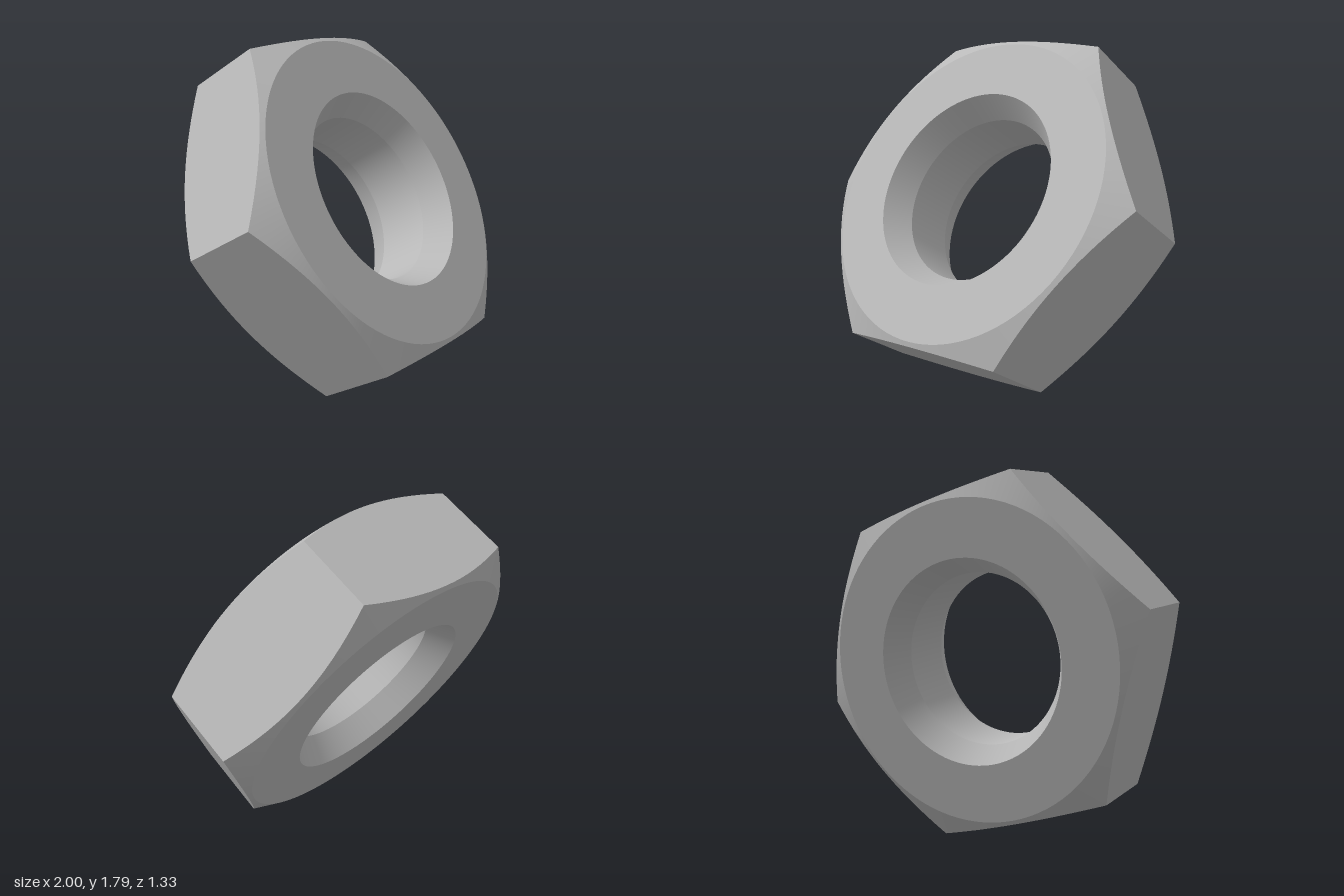
import * as THREE from 'three';

const COLUMNS = 96; // multiple of six, so columns land on the hexagon corners
const APOTHEM = Math.sqrt(3) / 2;
const HALF = 0.3; // half thickness
const FACE_R = 0.843; // where the outer chamfer starts
const RIM_R = 0.54, BORE_R = 0.46, BORE_HALF = 0.15;
const CHAMFER = Math.tan(Math.PI / 6);
const TILT = 0.5;

// Distance from the axis to the hexagon outline at an angle, corners on the x axis
function hexRadius(angle) {
  const sector = Math.PI / 3;
  return APOTHEM / Math.cos((angle % sector) - sector / 2);
}

const circle = (r, z) => () => [r, z];
const hexEdge = (side) => (angle) => {
  const r = hexRadius(angle);
  return [r, side * (HALF - (r - FACE_R) * CHAMFER)];
};

// Closed strip between two rings around the z axis
function band(from, to, flat) {
  const positions = [], index = [];
  for (let i = 0; i < COLUMNS; i++) {
    const angle = (i / COLUMNS) * Math.PI * 2;
    for (const ring of [from, to]) {
      const [r, z] = ring(angle);
      positions.push(r * Math.cos(angle), r * Math.sin(angle), z);
    }
    const a = 2 * i, b = a + 1;
    const a2 = (a + 2) % (2 * COLUMNS), b2 = a2 + 1;
    index.push(a, b, b2, a, b2, a2);
  }
  let geometry = new THREE.BufferGeometry();
  geometry.setAttribute('position', new THREE.Float32BufferAttribute(positions, 3));
  geometry.setIndex(index);
  if (flat) geometry = geometry.toNonIndexed();
  geometry.computeVertexNormals();
  return geometry;
}

export function createModel() {
  const steel = new THREE.MeshStandardMaterial({ color: 0xb8b8b8 });
  steel.name = 'steel grey';

  // Cross-section rings, from the back of the bore out over the front and round
  const rings = [
    circle(BORE_R, -BORE_HALF),
    circle(BORE_R, BORE_HALF),
    circle(RIM_R, HALF),
    circle(FACE_R, HALF),
    hexEdge(1),
    hexEdge(-1),
    circle(FACE_R, -HALF),
    circle(RIM_R, -HALF),
  ];
  const names = ['bore', 'frontCountersink', 'frontFace', 'frontChamfer',
    'hexSides', 'backChamfer', 'backFace', 'backCountersink'];

  const nut = new THREE.Group();
  nut.name = 'hexNut';
  names.forEach((name, i) => {
    const next = rings[(i + 1) % rings.length];
    const mesh = new THREE.Mesh(band(rings[i], next, name === 'hexSides'), steel);
    mesh.name = name;
    nut.add(mesh);
  });

  // Lean back and rest on the lowest edge
  nut.rotation.x = -TILT;
  const edgeHalf = HALF - (APOTHEM - FACE_R) * CHAMFER;
  nut.position.y = APOTHEM * Math.cos(TILT) + edgeHalf * Math.sin(TILT);

  const model = new THREE.Group();
  model.name = 'tiltedHexNut';
  model.add(nut);
  return model;
}
